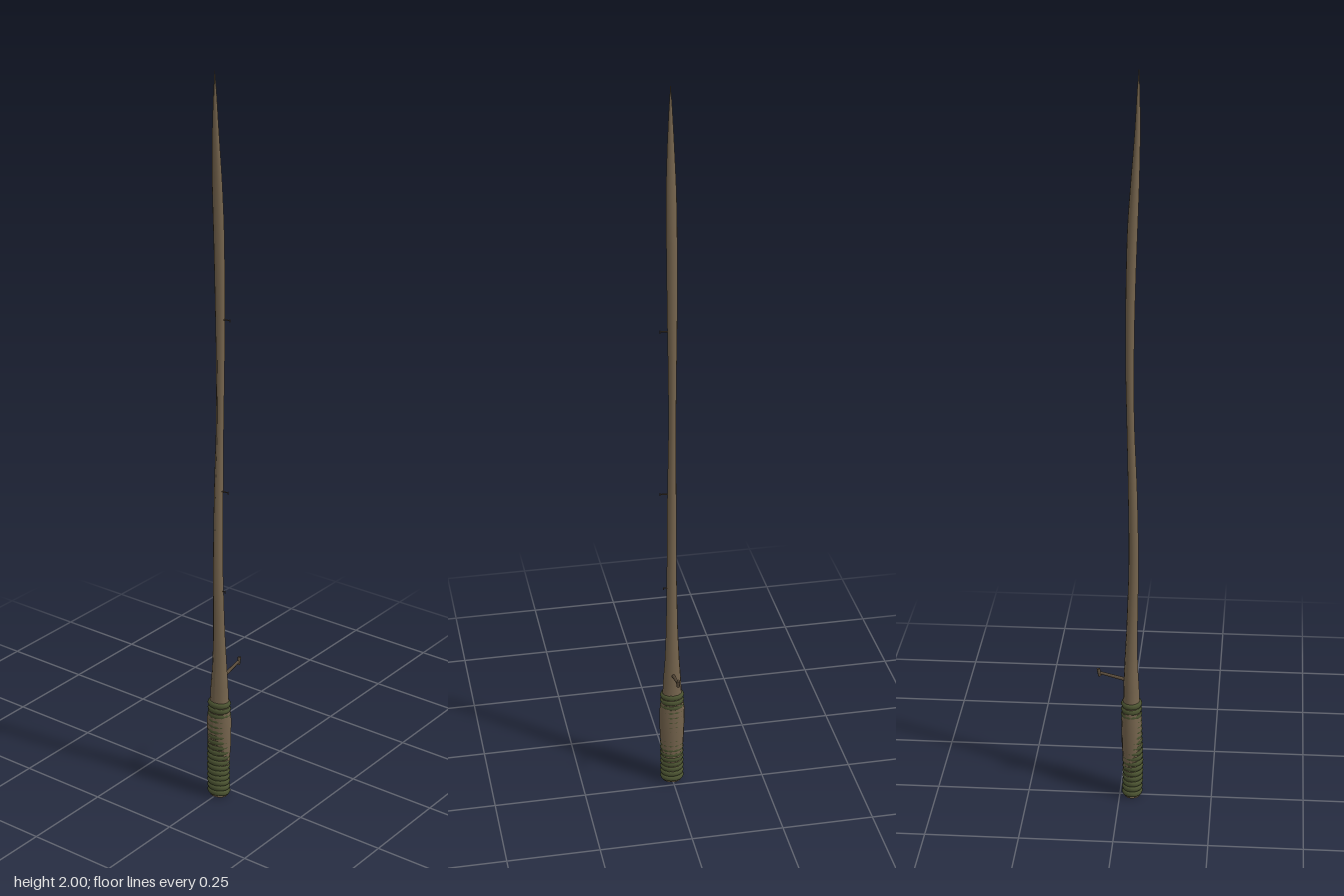
import * as THREE from 'three';

// Shaft stations: height, centre z, half width in x, half depth in z
const STATIONS = [
  [0.005, 0.034, 0.026, 0.022], [0.3, 0.031, 0.026, 0.022], [0.4, 0.03, 0.02, 0.018],
  [0.5, 0.032, 0.016, 0.015], [0.7, 0.036, 0.013, 0.013], [0.9, 0.033, 0.012, 0.012],
  [1.1, 0.027, 0.01, 0.01], [1.25, 0.025, 0.011, 0.011], [1.4, 0.026, 0.013, 0.012],
  [1.6, 0.031, 0.014, 0.013], [1.72, 0.037, 0.0135, 0.011], [1.85, 0.043, 0.009, 0.007],
  [1.95, 0.045, 0.004, 0.0035], [2, 0.046, 0.0006, 0.0006],
];
const centre = new THREE.CatmullRomCurve3(STATIONS.map(s => new THREE.Vector3(0, s[0], s[1])));
const girth = new THREE.CatmullRomCurve3(STATIONS.map(s => new THREE.Vector3(s[2], s[3], 0)));

const bark = new THREE.MeshStandardMaterial({ color: 0x75644d });
const cord = new THREE.MeshStandardMaterial({ color: 0x4a5230 });
const twigWood = new THREE.MeshStandardMaterial({ color: 0x594b3a });

function add(group, name, geometry, material) {
  const mesh = new THREE.Mesh(geometry, material);
  mesh.name = name;
  group.add(mesh);
  return mesh;
}

// Bends and swells a unit cylinder along the shaft stations
function shaftGeometry() {
  const geometry = new THREE.CylinderGeometry(1, 1, 1, 12, 52);
  const pos = geometry.attributes.position;
  for (let i = 0; i < pos.count; i++) {
    const t = THREE.MathUtils.clamp(pos.getY(i) + 0.5, 0, 1);
    const c = centre.getPoint(t), g = girth.getPoint(t);
    pos.setXYZ(i, pos.getX(i) * g.x, c.y, c.z + pos.getZ(i) * g.y);
  }
  geometry.computeVertexNormals();
  return geometry;
}

// Tapered round stick between two points
function stick(from, to, r0, r1, sides = 8) {
  const a = new THREE.Vector3(...from), b = new THREE.Vector3(...to);
  const dir = b.clone().sub(a);
  const geometry = new THREE.CylinderGeometry(r1, r0, dir.length(), sides);
  geometry.applyQuaternion(new THREE.Quaternion().setFromUnitVectors(
    new THREE.Vector3(0, 1, 0), dir.normalize()));
  const mid = a.add(b).multiplyScalar(0.5);
  return geometry.translate(mid.x, mid.y, mid.z);
}

export function createModel() {
  const model = new THREE.Group();
  model.name = 'woodenSpear';
  add(model, 'shaft', shaftGeometry(), bark);

  // Cord wound around the grip
  const grip = new THREE.Group();
  grip.name = 'gripWrap';
  model.add(grip);
  const turns = 18, bottom = 0.018, top = 0.285;
  for (let i = 0; i < turns; i++) {
    const t = i / (turns - 1);
    const y = THREE.MathUtils.lerp(bottom, top, t);
    const z = 0.0335 + 0.002 * Math.cos(t * 5 - 1.5);
    const ring = add(grip, 'cordTurn', new THREE.TorusGeometry(0.0245, 0.0085, 8, 24), cord);
    ring.rotation.x = Math.PI / 2;
    ring.scale.set(1, 0.86, 1);
    ring.position.set(0, y, z);
  }

  // Broken side branch with a knobbly end
  add(model, 'sideBranch', stick([0, 0.354, 0.02], [0, 0.373, -0.053], 0.005, 0.004), twigWood);
  add(model, 'branchEnd', stick([0, 0.364, -0.054], [0, 0.385, -0.058], 0.0045, 0.0045), twigWood);

  // Tiny twigs along one side
  for (const [y, z, reach] of [[0.62, 0.034, 0.022], [0.905, 0.033, 0.031], [1.37, 0.026, 0.031]]) {
    add(model, 'twig', stick([0.006, y, z], [reach, y + 0.002, z], 0.002, 0.0012, 6), twigWood);
    add(model, 'twigTip', stick([reach, y - 0.003, z], [reach, y + 0.005, z], 0.0014, 0.001, 6), twigWood);
  }
  return model;
}
